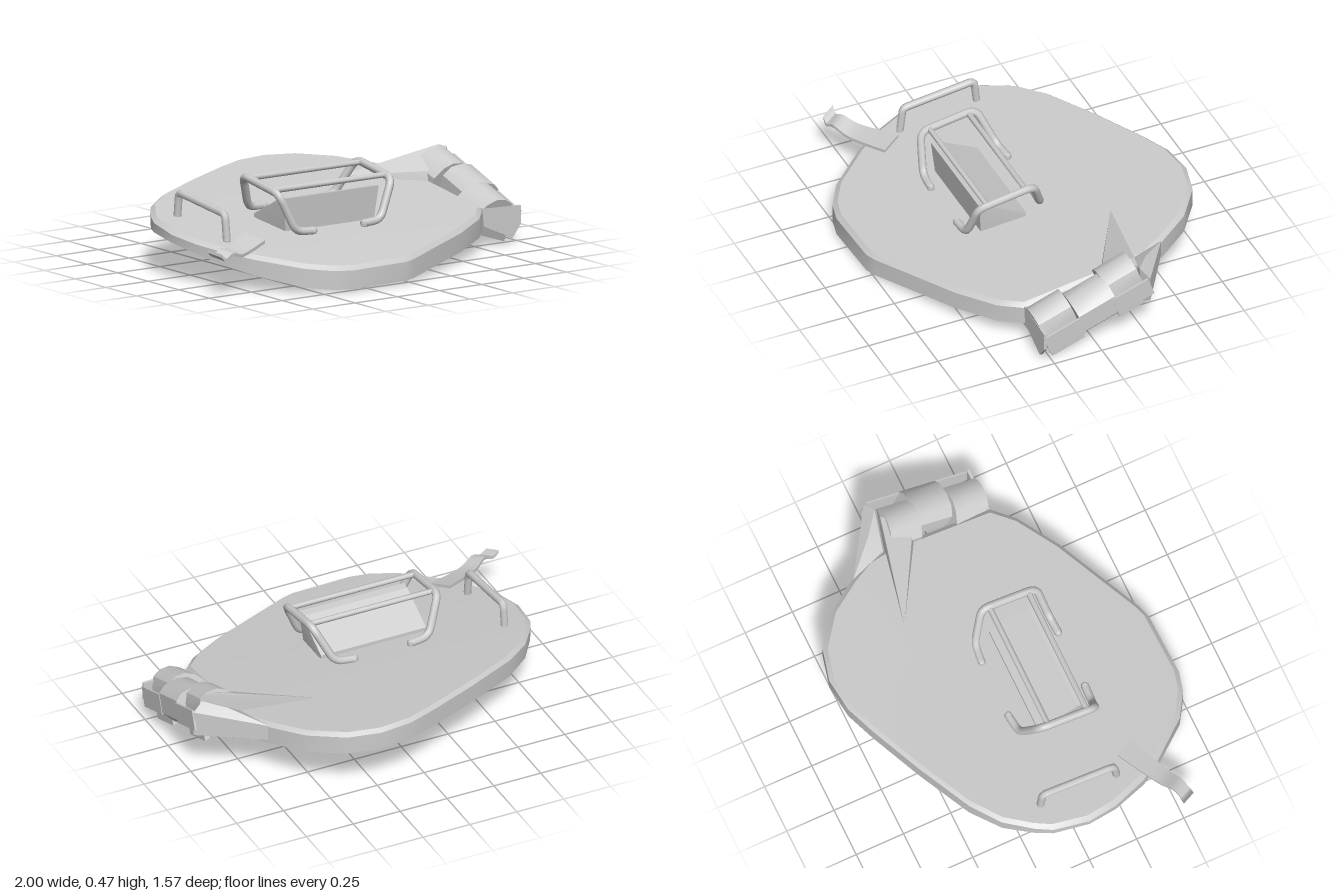
import * as THREE from 'three';
import { toCreasedNormals } from 'three/addons/utils/BufferGeometryUtils.js';
import { ConvexGeometry } from 'three/addons/geometries/ConvexGeometry.js';

const mat = new THREE.MeshStandardMaterial({ color: 0xcccccc, side: THREE.DoubleSide });
const V = (x, y, z) => new THREE.Vector3(x, y, z);

// Height of the slab's underside (gently curved tilt) and its thickness
const underside = z => 0.125 - 0.141 * z - 0.025 * z * z;
const THICK = 0.11;

function part(geo, name, crease = 0.6) {
  const m = new THREE.Mesh(toCreasedNormals(geo, crease), mat);
  m.name = name;
  return m;
}

const hull = (pts, name) => part(new ConvexGeometry(pts.map(p => V(...p))), name, 0.3);

// Tube through points with rounded corners and capped ends
function pipe(pts, r, name, bend = 0.045) {
  const p = pts.map(q => V(...q));
  const path = new THREE.CurvePath();
  let last = p[0];
  for (let i = 1; i < p.length - 1; i++) {
    const a = p[i].clone().add(p[i - 1].clone().sub(p[i]).setLength(bend));
    const b = p[i].clone().add(p[i + 1].clone().sub(p[i]).setLength(bend));
    path.add(new THREE.LineCurve3(last, a));
    path.add(new THREE.QuadraticBezierCurve3(a, p[i], b));
    last = b;
  }
  path.add(new THREE.LineCurve3(last, p[p.length - 1]));
  const g = new THREE.Group();
  g.name = name;
  g.add(part(new THREE.TubeGeometry(path, p.length > 2 ? 48 : 1, r, 8), name + 'Tube', 1));
  for (const e of [p[0], p[p.length - 1]]) {
    const cap = part(new THREE.SphereGeometry(r, 8, 6), name + 'End', 1);
    cap.position.copy(e);
    g.add(cap);
  }
  return g;
}

// Door slab: loops of the outline from the underside centre to the top centre
function slab() {
  const outline = [
    [0.25, -0.79], [0.41, -0.75], [0.57, -0.63], [0.68, -0.47], [0.74, -0.36], [0.76, -0.25],
    [0.76, 0], [0.76, 0.3], [0.67, 0.4], [0.47, 0.53], [0.25, 0.64], [0.03, 0.75], [-0.03, 0.77],
    [-0.35, 0.78], [-0.45, 0.755], [-0.57, 0.68], [-0.73, 0.49], [-0.8, 0.38], [-0.87, 0.2],
    [-0.895, 0.05], [-0.87, -0.13], [-0.83, -0.21], [-0.74, -0.34], [-0.6, -0.45],
    [-0.33, -0.59], [-0.07, -0.71], [0.08, -0.77]];
  // [outline scale, height above the underside]
  const rings = [[0, 0], [0.5, 0], [1, 0], [1, THICK - 0.018], [0.972, THICK], [0.5, THICK], [0, THICK]];
  const n = outline.length, pos = [], idx = [];
  for (const [s, h] of rings) for (const [ox, oz] of outline) {
    const x = ox * s, z = oz * s;
    const curl = h === 0 ? 0.45 * Math.max(0, -x - 0.55) ** 2 : 0;
    pos.push(x, underside(z) + h + curl, z);
  }
  for (let r = 0; r < rings.length - 1; r++) for (let j = 0; j < n; j++) {
    const a = r * n + j, b = r * n + (j + 1) % n;
    if (r > 0) idx.push(a, a + n, b);
    if (r < rings.length - 2) idx.push(b, a + n, b + n);
    else idx.push(a, a + n, b);
  }
  const g = new THREE.BufferGeometry();
  g.setAttribute('position', new THREE.Float32BufferAttribute(pos, 3));
  g.setIndex(idx);
  return part(g, 'doorSlab', 0.5);
}

// Hinge knuckle: profile extruded along the tilted hinge axis
function knuckle(profile, z, length, name) {
  const shape = new THREE.Shape(profile.map(p => new THREE.Vector2(...p)));
  const geo = new THREE.ExtrudeGeometry(shape, { depth: length, bevelEnabled: false });
  geo.translate(0, 0, -length / 2);
  const m = part(geo, name, 0.7);
  m.position.set(0.86, 0.205 - 0.34 * z, z);
  m.rotation.x = 0.34;
  return m;
}

// Flat strap bent along a curve, narrowing to a crumpled end
function strap() {
  const curve = new THREE.CatmullRomCurve3([
    V(-0.63, 0.215, 0.36), V(-0.74, 0.195, 0.42), V(-0.84, 0.185, 0.475),
    V(-0.91, 0.205, 0.515), V(-0.96, 0.185, 0.53), V(-0.99, 0.21, 0.53)]);
  const geo = new THREE.BoxGeometry(1, 0.016, 1, 14, 1, 1);
  const p = geo.attributes.position;
  for (let i = 0; i < p.count; i++) {
    const t = p.getX(i) + 0.5, w = p.getZ(i) * (t < 0.75 ? 0.11 - 0.06 * t : 0.075);
    const c = curve.getPoint(t);
    p.setXYZ(i, c.x + w * 0.47, c.y + p.getY(i) - w * 0.25, c.z + w * 0.88);
  }
  geo.computeVertexNormals();
  return part(geo, 'strap', 0.5);
}

export function createModel() {
  const model = new THREE.Group();
  model.name = 'hatchDoor';
  model.add(slab());

  // Guard frame: two mirrored arches joined by cross bars
  const cx = -0.107;
  for (const [s, side] of [[-1, 'right'], [1, 'left']]) {
    model.add(pipe([
      [cx + s * 0.15, 0.2, 0.325], [cx + s * 0.25, 0.205, 0.32], [cx + s * 0.335, 0.395, 0.295],
      [cx + s * 0.335, 0.44, 0.005], [cx + s * 0.25, 0.262, -0.07], [cx + s * 0.15, 0.257, -0.08]],
      0.02, side + 'GuardArch'));
  }
  for (const [y, z] of [[0.405, 0.25], [0.432, 0.045]])
    model.add(pipe([[cx - 0.335, y, z], [cx + 0.335, y, z]], 0.014, 'guardCrossBar'));

  // Wedge-shaped viewport housing under the guard
  model.add(hull([-1, 1].flatMap(s => [
    [cx + s * 0.26, 0.18, 0.25], [cx + s * 0.28, 0.36, 0.265], [cx + s * 0.28, 0.355, 0.225],
    [cx + s * 0.28, 0.25, 0.02], [cx + s * 0.28, 0.21, 0.02]]), 'viewportHousing'));

  // Grab handle
  model.add(pipe([[-0.73, 0.2, 0.27], [-0.73, 0.325, 0.255], [-0.73, 0.37, -0.12], [-0.73, 0.24, -0.135]],
    0.019, 'grabHandle', 0.025));
  model.add(strap());

  // Hinge
  const hinge = new THREE.Group();
  hinge.name = 'hinge';
  const outer = [[-0.12, -0.06], [0.08, -0.13], [0.085, 0.03], [0.07, 0.08], [0.03, 0.105],
    [-0.02, 0.11], [-0.07, 0.09], [-0.12, 0.04]];
  const middle = [[-0.07, -0.04], [0, -0.1], [0.08, -0.1], [0.13, -0.05], [0.13, 0.05],
    [0.1, 0.08], [0.03, 0.1], [-0.03, 0.09], [-0.07, 0.05]];
  hinge.add(knuckle(outer, 0.19, 0.18, 'frontKnuckle'));
  hinge.add(knuckle(middle, 0.005, 0.2, 'middleKnuckle'));
  hinge.add(knuckle(outer, -0.16, 0.17, 'backKnuckle'));
  // Flared end plate and thin outer cheeks
  hinge.add(hull([0.3, 0.285].flatMap(z => [
    [0.76, 0.18, z], [0.99, 0.17, z], [0.99, 0.08, z], [0.94, 0.015, z], [0.77, 0.09, z]]), 'frontEndPlate'));
  for (const [z, name] of [[0.19, 'frontCheek'], [-0.17, 'backCheek']]) {
    const cheek = part(new THREE.BoxGeometry(0.01, 0.1, 0.2), name);
    cheek.position.set(0.988, 0.195 - 0.34 * z, z);
    cheek.rotation.x = 0.34;
    hinge.add(cheek);
  }
  // Pointed ramp blending the back knuckle into the slab
  hinge.add(hull([
    [0.36, 0.278, -0.34], [0.36, 0.26, -0.34], [0.8, 0.37, -0.24], [0.88, 0.395, -0.225],
    [0.93, 0.38, -0.22], [0.78, 0.3, -0.1], [0.75, 0.22, -0.1], [0.75, 0.19, -0.26], [0.92, 0.22, -0.22]], 'hingeRamp'));
  // Arm running along the rim to the back knuckle
  hinge.add(hull([
    [0.68, 0.2, -0.46], [0.68, 0.28, -0.46], [0.74, 0.17, -0.27], [0.75, 0.28, -0.27],
    [0.83, 0.34, -0.31], [0.83, 0.18, -0.31], [0.99, 0.33, -0.26], [0.99, 0.2, -0.26], [0.94, 0.17, -0.24],
    [0.93, 0.36, -0.23]], 'hingeArm'));
  model.add(hinge);
  return model;
}
